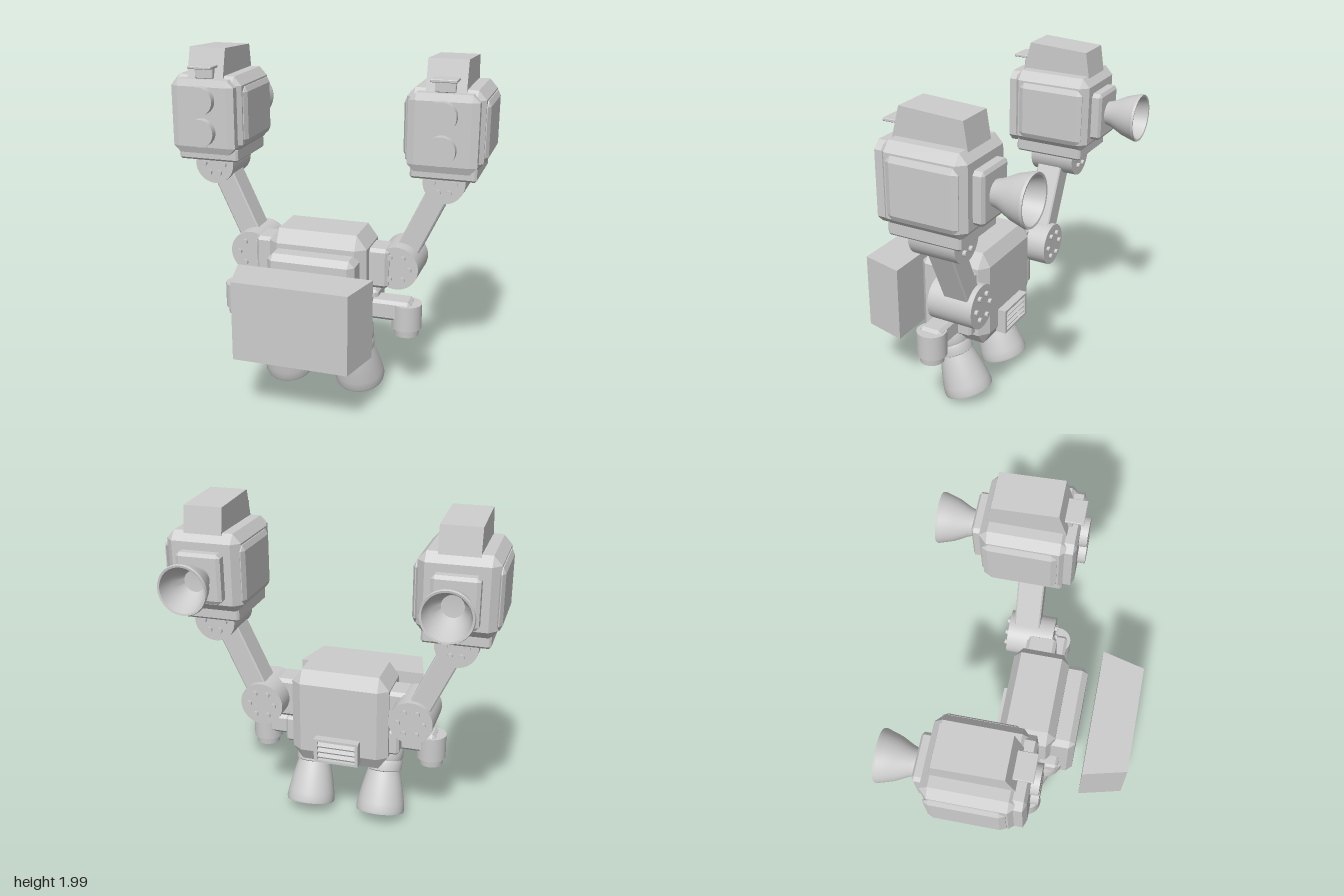
import * as THREE from 'three';
import { toCreasedNormals } from 'three/addons/utils/BufferGeometryUtils.js';
import { ConvexGeometry } from 'three/addons/geometries/ConvexGeometry.js';

const grey = new THREE.MeshStandardMaterial({ color: 0xcccccc, side: THREE.DoubleSide });
grey.name = 'light grey';

function add(parent, name, geometry, x = 0, y = 0, z = 0) {
  const mesh = new THREE.Mesh(geometry, grey);
  mesh.name = name;
  mesh.position.set(x, y, z);
  parent.add(mesh);
  return mesh;
}

// Box with bevelled edges; each axis has its own bevel depth
function bevelBox(w, h, d, cx, cy = cx, cz = cx) {
  const pts = [];
  for (const i of [-1, 1]) for (const j of [-1, 1]) for (const k of [-1, 1]) {
    const x = w / 2, y = h / 2, z = d / 2;
    pts.push(new THREE.Vector3(i * x, j * (y - cy), k * (z - cz)));
    pts.push(new THREE.Vector3(i * (x - cx), j * y, k * (z - cz)));
    pts.push(new THREE.Vector3(i * (x - cx), j * (y - cy), k * z));
  }
  return new ConvexGeometry(pts);
}

// Bevelled box given by its extents
function block(parent, name, [x0, x1], [y0, y1], [z0, z1], ...bevel) {
  return add(parent, name, bevelBox(x1 - x0, y1 - y0, z1 - z0, ...bevel),
    (x0 + x1) / 2, (y0 + y1) / 2, (z0 + z1) / 2);
}

function lathe(points) {
  const g = new THREE.LatheGeometry(points.map(([r, y]) => new THREE.Vector2(r, y)), 40);
  return toCreasedNormals(g, 0.5);
}

// Prism from an outline in x/y, extruded and centred along z
function prism(points, depth) {
  const shape = new THREE.Shape(points.map(([x, y]) => new THREE.Vector2(x, y)));
  return new THREE.ExtrudeGeometry(shape, { depth, bevelEnabled: false }).translate(0, 0, -depth / 2);
}

// Pivot drum lying along z with a ring of bolts on both faces
function joint(parent, name, x, y, z0, z1, r, ringR) {
  const g = new THREE.Group();
  g.name = name;
  g.position.set(x, y, (z0 + z1) / 2);
  parent.add(g);
  const length = z1 - z0;
  add(g, 'drum', new THREE.CylinderGeometry(r, r, length, 40).rotateX(Math.PI / 2));
  const bolt = new THREE.CylinderGeometry(0.016, 0.016, length + 0.036, 10).rotateX(Math.PI / 2);
  for (let i = 0; i < 6; i++) {
    const a = i * Math.PI / 3;
    add(g, 'bolt', bolt, Math.cos(a) * ringR, Math.sin(a) * ringR, 0);
  }
  return g;
}

function launcherPod(s) {
  const pod = new THREE.Group();
  pod.name = 'launcherPod';
  pod.position.x = s * 0.695;
  block(pod, 'podBody', [-0.215, 0.215], [1.4, 1.845], [-0.378, 0.105], 0.045, 0.05, 0.045);
  block(pod, 'podBase', [-0.185, 0.185], [1.345, 1.43], [-0.34, 0.08], 0.012);
  block(pod, 'podFrontPlate', [-0.192, 0.192], [1.4, 1.83], [0.06, 0.143], 0.04, 0.04, 0.015);
  for (const k of [-1, 1]) {
    const panel = [k * 0.2, k * 0.235].sort((a, b) => a - b);
    block(pod, 'podSidePanel', panel, [1.45, 1.785], [-0.355, 0.05], 0.015, 0.03, 0.03);
  }

  // Front tubes
  const tube = new THREE.CylinderGeometry(0.081, 0.081, 0.06, 40).rotateX(Math.PI / 2);
  for (const y of [1.53, 1.715]) add(pod, 'launchTube', tube, 0, y, 0.156);

  // Sloped hood and sight
  const hood = prism([[-0.08, 1.83], [0.345, 1.83], [0.32, 1.98], [-0.035, 2]], 0.22);
  add(pod, 'hood', hood.rotateY(Math.PI / 2));
  block(pod, 'sightBlock', [-0.055, 0.055], [1.83, 1.895], [0.02, 0.1], 0.004);
  block(pod, 'sightPlate', [-0.072, 0.072], [1.892, 1.908], [0.04, 0.16], 0.003);

  // Rear thruster
  block(pod, 'thrusterMount', [-0.128, 0.128], [1.47, 1.75], [-0.435, -0.36], 0.02, 0.02, 0.012);
  const bell = lathe([[0.068, 0], [0.08, 0.04], [0.115, 0.11], [0.132, 0.165], [0.141, 0.195],
    [0.137, 0.207], [0.126, 0.205], [0.1, 0.11], [0.06, 0.04], [0, 0.035]]);
  add(pod, 'rearThruster', bell.rotateX(-Math.PI / 2), 0, 1.61, -0.432);
  return pod;
}

function legThruster(s) {
  const leg = new THREE.Group();
  leg.name = 'legThruster';
  leg.position.set(s * 0.225, 0.06, 0.005);
  leg.rotation.x = 0.343;
  add(leg, 'legBell', lathe([[0, 0.2], [0.075, 0.19], [0.115, 0.1], [0.135, 0.0], [0.146, 0],
    [0.149, 0.015], [0.143, 0.06], [0.128, 0.14], [0.108, 0.22], [0.096, 0.26], [0, 0.26]]));
  add(leg, 'legCollar', lathe([[0.09, 0.25], [0.106, 0.26], [0.11, 0.31], [0.104, 0.325],
    [0.11, 0.34], [0.112, 0.4], [0.09, 0.47], [0, 0.48]]));
  return leg;
}

function sideParts(s) {
  const side = new THREE.Group();
  side.name = s > 0 ? 'leftSide' : 'rightSide';
  const span = (a, b) => (s > 0 ? [a, b] : [-b, -a]);

  // Shoulder and arm
  block(side, 'shoulder', span(0.25, 0.405), [0.67, 0.91], [-0.09, 0.09], 0.02);
  joint(side, 'shoulderJoint', s * 0.445, 0.795, -0.215, 0.06, 0.128, 0.075);
  const arm = add(side, 'arm', bevelBox(0.13, 0.58, 0.155, 0.008), s * 0.568, 1.055, -0.107);
  arm.rotation.z = -s * 0.435;
  joint(side, 'wristJoint', s * 0.69, 1.31, -0.265, 0.008, 0.12, 0.062);
  side.add(launcherPod(s));

  // Hip bracket with a small downward thruster
  block(side, 'hipBlock', span(0.26, 0.35), [0.5, 0.66], [-0.08, 0.1], 0.015);
  block(side, 'hipLug', span(0.22, 0.33), [0.55, 0.645], [0.1, 0.225], 0.015);
  block(side, 'hipBracket', span(0.3, 0.55), [0.5, 0.62], [0.0, 0.14], 0.018);
  add(side, 'hipThruster', new THREE.CylinderGeometry(0.087, 0.087, 0.15, 32), s * 0.518, 0.525, 0.072);
  add(side, 'hipNozzle', new THREE.CylinderGeometry(0.074, 0.07, 0.05, 32), s * 0.52, 0.432, 0.072);
  side.add(legThruster(s));
  return side;
}

export function createModel() {
  const model = new THREE.Group();
  model.name = 'thrusterPack';

  // Torso with a bevelled top and stepped chest
  block(model, 'torso', [-0.293, 0.293], [0.41, 1], [-0.145, 0.19], 0.06, 0.08, 0.045);
  block(model, 'chestPlate', [-0.26, 0.26], [0.33, 0.89], [0.12, 0.31], 0.035, 0.035, 0.035);

  // Back vent: frame and slats
  const vent = new THREE.Group();
  vent.name = 'backVent';
  model.add(vent);
  block(vent, 'ventBase', [-0.135, 0.135], [0.45, 0.6], [-0.165, -0.13], 0.004);
  for (const k of [-1, 1]) {
    add(vent, 'ventSide', new THREE.BoxGeometry(0.02, 0.15, 0.06), k * 0.125, 0.525, -0.165);
    add(vent, 'ventEdge', new THREE.BoxGeometry(0.25, 0.015, 0.06), 0, 0.525 + k * 0.0675, -0.165);
  }
  for (let i = -1; i <= 1; i++) {
    const slat = add(vent, 'ventSlat', new THREE.BoxGeometry(0.23, 0.012, 0.04), 0, 0.525 + i * 0.035, -0.172);
    slat.rotation.x = -0.5;
  }

  // Tapered shield block ahead of the chest
  const shield = prism([[-0.395, -0.38], [0.395, -0.38], [0.33, -0.64], [-0.33, -0.64]], 0.46);
  add(model, 'shield', shield.rotateX(-Math.PI / 2), 0, 0.61, 0);

  for (const s of [-1, 1]) model.add(sideParts(s));
  return model;
}
